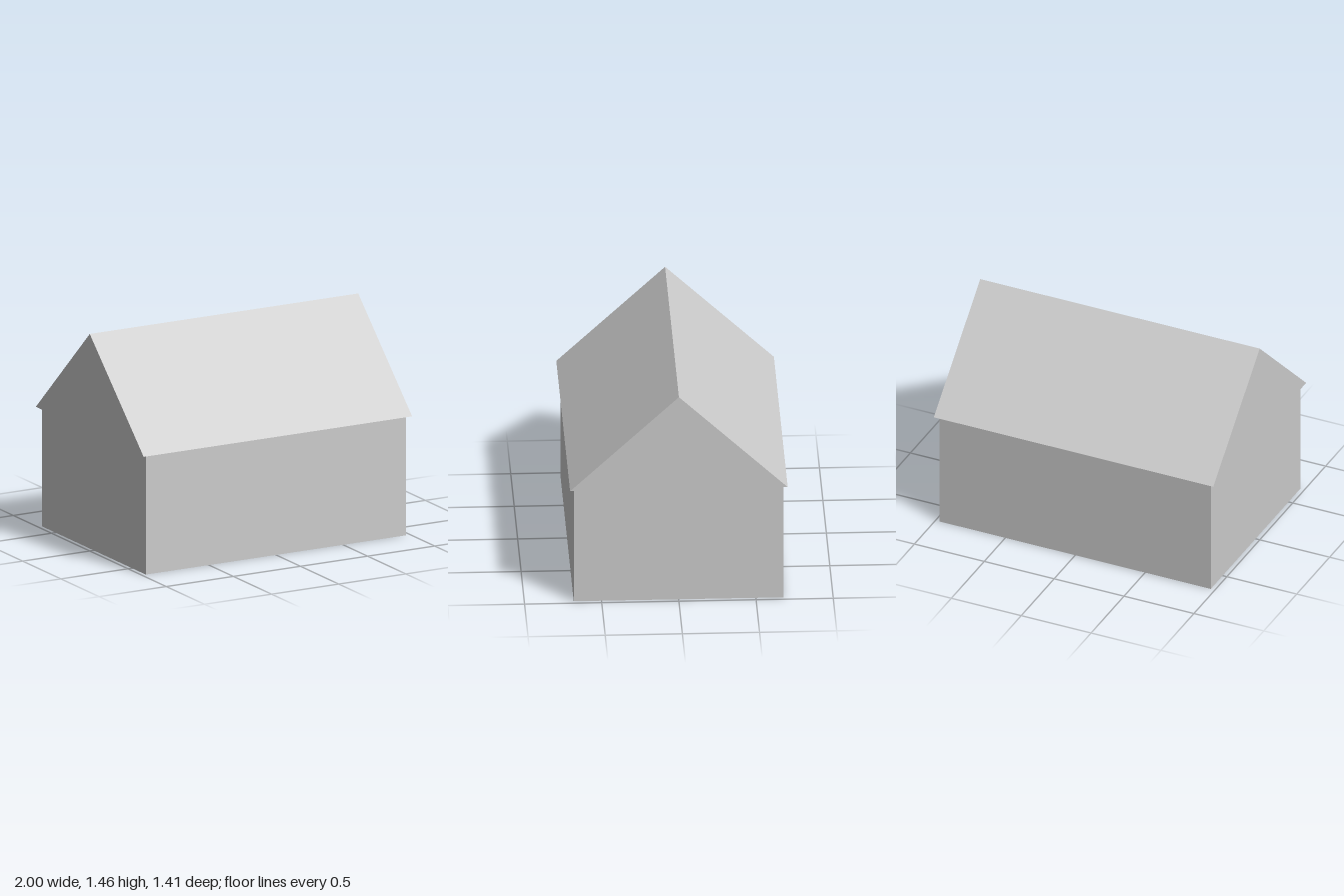
import * as THREE from 'three';

const WALL = { width: 1.94, height: 0.8, depth: 1.36 };
const ROOF = { length: 2, halfSpan: 0.705, rise: 0.657 };

export function createModel() {
  const house = new THREE.Group();
  house.name = 'house';

  const lightGrey = new THREE.MeshStandardMaterial({ color: 0xcccccc });
  lightGrey.name = 'light grey';

  // Walls: a plain box standing on the ground
  const walls = new THREE.Mesh(new THREE.BoxGeometry(WALL.width, WALL.height, WALL.depth), lightGrey);
  walls.name = 'walls';
  walls.position.y = WALL.height / 2;

  // Gable roof: triangle extruded along x, overhanging the walls on all sides
  const gable = new THREE.Shape([
    new THREE.Vector2(-ROOF.halfSpan, 0),
    new THREE.Vector2(ROOF.halfSpan, 0),
    new THREE.Vector2(0, ROOF.rise),
  ]);
  const roofGeometry = new THREE.ExtrudeGeometry(gable, { depth: ROOF.length, bevelEnabled: false });
  roofGeometry.translate(0, 0, -ROOF.length / 2).rotateY(Math.PI / 2);
  const roof = new THREE.Mesh(roofGeometry, lightGrey);
  roof.name = 'gableRoof';
  roof.position.y = WALL.height;

  house.add(walls, roof);
  return house;
}
